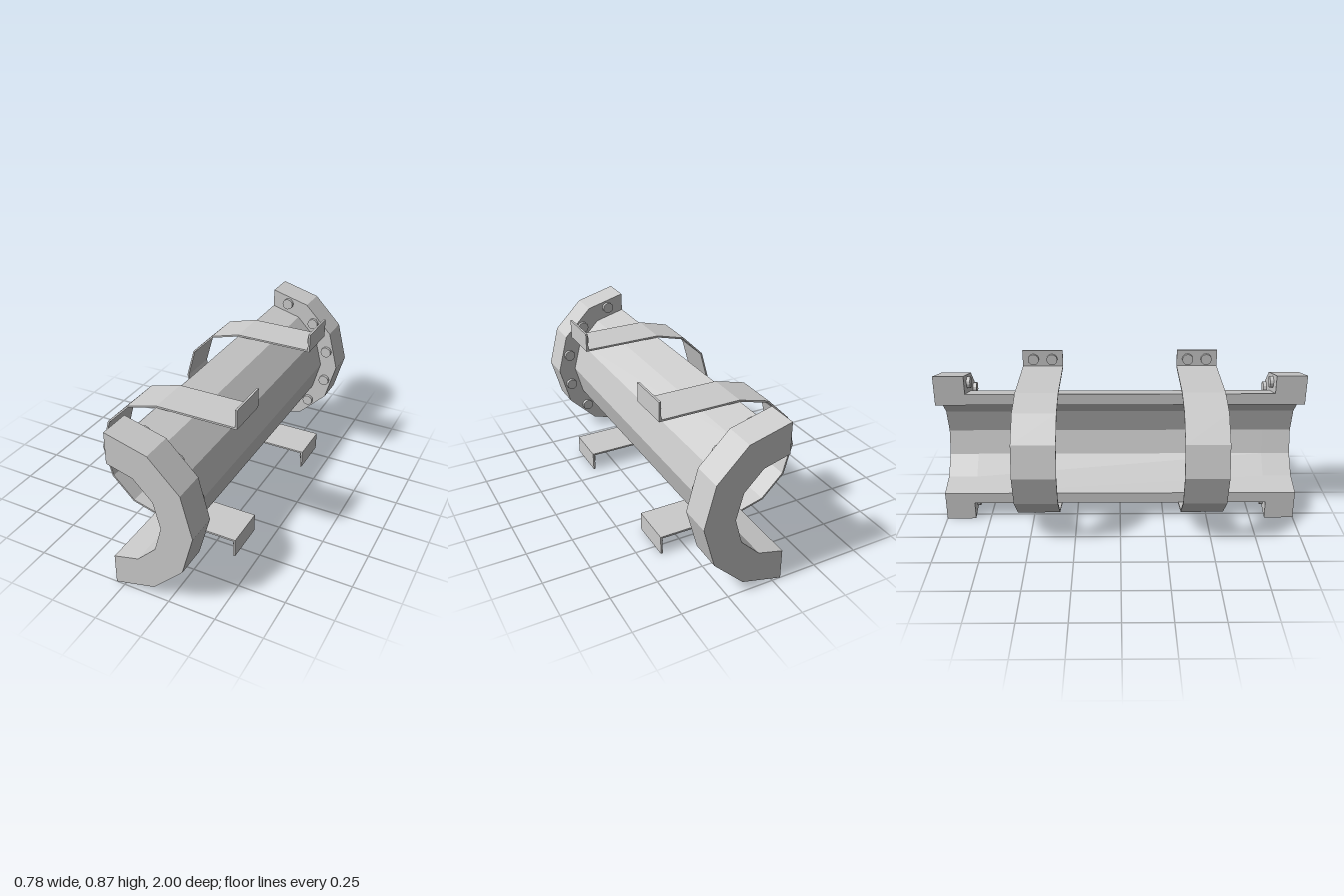
import * as THREE from 'three';

const CX = -0.047, CY = 0.437; // pipe axis
const mat = new THREE.MeshStandardMaterial({ color: 0xcccccc, flatShading: true });

// Points on a faceted arc around the pipe axis, angles in degrees
function arc(r, from, to, steps = 6) {
  return Array.from({ length: steps + 1 }, (_, i) => {
    const a = THREE.MathUtils.degToRad(from + (to - from) * i / steps);
    return new THREE.Vector2(CX + r * Math.cos(a), CY + r * Math.sin(a));
  });
}

// Extrude a closed outline along z from z0 to z1
function extrude(name, points, z0, z1) {
  const geo = new THREE.ExtrudeGeometry(new THREE.Shape(points), { depth: z1 - z0, bevelEnabled: false });
  geo.translate(0, 0, z0);
  const mesh = new THREE.Mesh(geo, mat);
  mesh.name = name;
  return mesh;
}

const halfRing = (rOut, rIn) => [...arc(rOut, -90, 90), ...arc(rIn, 90, -90)];

function bolt(name, x, y, z, axis) {
  const geo = new THREE.CylinderGeometry(0.032, 0.032, 0.02, 12);
  if (axis === 'x') geo.rotateZ(Math.PI / 2);
  else geo.rotateX(Math.PI / 2);
  const mesh = new THREE.Mesh(geo, mat);
  mesh.name = name;
  mesh.position.set(x, y, z);
  return mesh;
}

// C-shaped strap: arc on the open side, straight arms, bent end tabs
function strapOutline() {
  const rOut = 0.343, rIn = 0.333, end = 0.39, tab = 0.379;
  const v = (x, dy) => new THREE.Vector2(x, CY + dy);
  return [
    ...arc(rOut, 90, 270),
    v(tab, -rOut), v(tab, -CY), v(end, -CY), v(end, -rIn),
    ...arc(rIn, 270, 90),
    v(end, rIn), v(end, CY), v(tab, CY), v(tab, rOut),
  ];
}

export function createModel() {
  const model = new THREE.Group();
  model.name = 'halfPipeClamp';

  // Half pipe shell
  model.add(extrude('pipeShell', halfRing(0.335, 0.272), -0.835, 0.835));

  for (const s of [1, -1]) {
    const end = s > 0 ? 'front' : 'back';

    // End flange with six bolts on its inner face
    const flange = new THREE.Group();
    flange.name = end + 'Flange';
    flange.add(extrude('flangeRing', halfRing(0.437, 0.272), s > 0 ? 0.835 : -1, s > 0 ? 1 : -0.835));
    for (const p of arc(0.38, -75, 75, 5)) flange.add(bolt('flangeBolt', p.x, p.y, s * 0.826, 'z'));
    model.add(flange);

    // Strap with two bolts on each tab
    const strap = new THREE.Group();
    strap.name = end + 'Strap';
    strap.add(extrude('strapBand', strapOutline(), s * 0.45 - 0.117, s * 0.45 + 0.117));
    for (const dy of [-0.385, 0.385])
      for (const dz of [-0.054, 0.054])
        strap.add(bolt('strapBolt', 0.373, CY + dy, s * 0.45 + dz, 'x'));
    model.add(strap);
  }
  return model;
}
